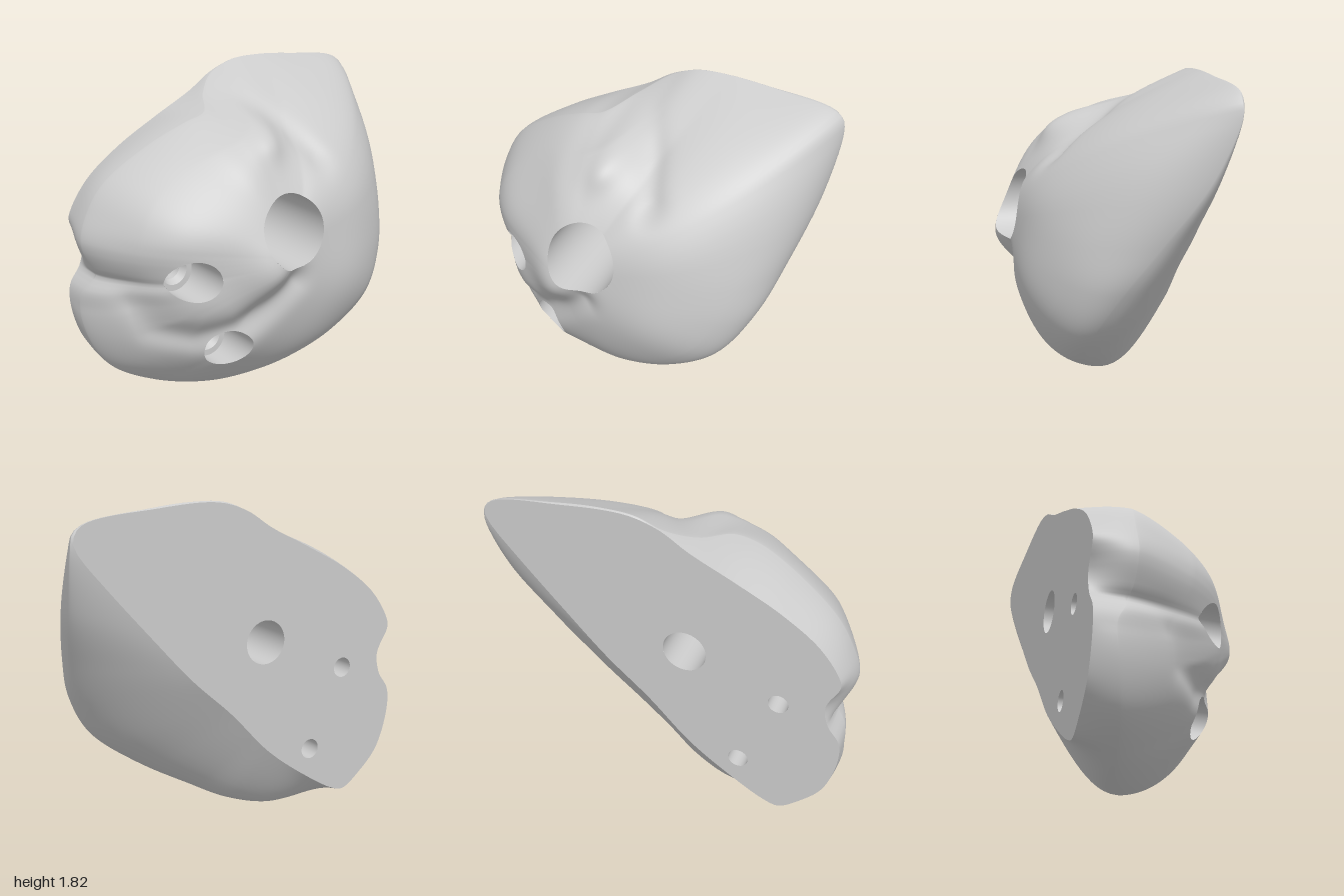
import * as THREE from 'three';

const BACK = -0.5, CX = -0.15, CY = 0.95, CREST = 0.46, TAU = Math.PI * 2;

// Widest outline of the rock, with the depth at which it occurs
const RIM = [
  [1, 1.63, -.49], [.985, 1.71, -.49], [.92, 1.755, -.49], [.6, 1.8, -.49], [.36, 1.82, -.49], [.15, 1.81, -.49],
  [0, 1.75, -.48], [-.14, 1.67, -.36], [-.27, 1.61, -.17], [-.4, 1.575, -.16], [-.6, 1.48, -.2], [-.85, 1.3, -.26],
  [-.95, 1.15, -.28], [-1, .98, -.28], [-.94, .82, -.29], [-.89, .74, -.32], [-.97, .6, -.38], [-.95, .4, -.36],
  [-.84, .2, -.32], [-.6, .06, -.26], [-.33, 0, -.2], [-.1, .04, -.1], [.1, .13, .02], [.36, .27, .12],
  [.62, .47, .14], [.78, .72, .03], [.87, .97, -.14], [.96, 1.3, -.36],
];
// Outline of the flat back
const BASE = [
  [.988, 1.66], [.95, 1.74], [.54, 1.8], [.19, 1.81], [.02, 1.76], [-.14, 1.66], [-.38, 1.54], [-.62, 1.41],
  [-.82, 1.26], [-.93, 1.11], [-.95, 1.04], [-.88, .89], [-.9, .77], [-.965, .67], [-.97, .54], [-.9, .32],
  [-.78, .19], [-.66, .11], [-.58, .13], [-.38, .25], [-.14, .43], [.1, .68], [.34, .9], [.58, 1.16], [.82, 1.43], [.96, 1.6],
];
// Bolt holes: mouth radius, then [radius, depth] steps down to the back
const HOLES = [
  { name: 'largeBoltHole', x: -.11, y: 1.05, r: .198, steps: [[.196, -.1], [.12, -.1], [.12, BACK]] },
  { name: 'upperScrewHole', x: -.63, y: .84, r: .115, steps: [[.112, .06], [.078, .06], [.056, .02], [.056, BACK]] },
  { name: 'lowerScrewHole', x: -.42, y: .395, r: .115, steps: [[.112, .06], [.078, .06], [.056, .02], [.056, BACK]] },
];
// Creases pressed into the front: path, depth, width
const CREASES = [
  { path: [[-.12, 1.7], [.03, 1.62], [.13, 1.52], [.2, 1.38]], depth: .05, width: .07 },
  { path: [[-.9, .75], [-.8, .64], [-.74, .52], [-.58, .48], [-.4, .54], [-.25, .66], [-.12, .78]], depth: .055, width: .085 },
];
// Soft swellings on the front: x, y, height, spread
const SWELLS = [
  [-.27, .86, .055, .15], [-.8, 1.05, .05, .2], [-.1, 1.54, .15, .13], [-.28, 1.44, .05, .18],
  [.35, .7, .02, .25], [-.62, .72, .025, .13], [-.42, .38, .04, .16],
];

// Closed curve turned into a lookup of [radius, z] by angle about the centre
function polar(points) {
  const curve = new THREE.CatmullRomCurve3(points.map(([x, y, z = BACK]) => new THREE.Vector3(x, y, z)), true);
  const samples = curve.getPoints(1500)
    .map(p => [Math.atan2(p.y - CY, p.x - CX), Math.hypot(p.x - CX, p.y - CY), p.z])
    .sort((a, b) => a[0] - b[0]);
  const N = 1040;
  const table = Array.from({ length: N }, (_, i) => {
    const a = i / N * TAU - Math.PI;
    const k = Math.max(1, samples.findIndex(e => e[0] >= a));
    const [p, q] = [samples[k - 1], samples[k]];
    const t = THREE.MathUtils.clamp((a - p[0]) / (q[0] - p[0] || 1), 0, 1);
    return [p[1] + (q[1] - p[1]) * t, p[2] + (q[2] - p[2]) * t];
  });
  return a => {
    const u = ((a + Math.PI) / TAU % 1 + 1) % 1 * N, i = Math.floor(u) % N, t = u - Math.floor(u);
    return table[i].map((v, n) => v + (table[(i + 1) % N][n] - v) * t);
  };
}
const base = polar(BASE), widest = polar(RIM);
const rim = a => { const [r, z] = widest(a); return [Math.max(r, base(a)[0]), z]; };

// Rim averaged over neighbouring angles, so notches fade towards the crest
function softRim(a) {
  let r = 0, z = 0;
  for (let k = -4; k <= 4; k++) {
    const [rk, zk] = rim(a + k * .08);
    r += rk / 9;
    z += zk / 9;
  }
  return [r, z];
}

function distanceToPath(x, y, path) {
  let best = Infinity;
  for (let i = 1; i < path.length; i++) {
    const [ax, ay] = path[i - 1], dx = path[i][0] - ax, dy = path[i][1] - ay;
    const t = THREE.MathUtils.clamp(((x - ax) * dx + (y - ay) * dy) / (dx * dx + dy * dy), 0, 1);
    best = Math.min(best, Math.hypot(x - ax - dx * t, y - ay - dy * t));
  }
  return best;
}

// Depth of the front surface at (x, y)
function height(x, y) {
  const a = Math.atan2(y - CY, x - CX), d = Math.hypot(x - CX, y - CY);
  const [r, z] = rim(a), [rs, zs] = softRim(a), edge = Math.min(1, d / r) ** 3;
  const s = Math.min(1, d / (rs + (r - rs) * edge)), z0 = zs + (z - zs) * edge;
  const lowerRight = Math.max(0, Math.cos(a + .5));
  const power = .75 - .3 * lowerRight + .28 * Math.exp(-(((a - 1) / .6) ** 2));
  let bump = .004 * Math.sin(9 * x + 4 * y) * Math.sin(8 * y - 3 * x);
  for (const c of CREASES) bump -= c.depth * Math.exp(-((distanceToPath(x, y, c.path) / c.width) ** 2));
  for (const [sx, sy, h, w] of SWELLS) bump += h * Math.exp(-((x - sx) ** 2 + (y - sy) ** 2) / (w * w));
  return z0 + (CREST - z0) * (1 - s ** (2 + .5 * lowerRight)) ** power + bump * Math.min(1, (1 - s) * 6);
}

function indexedGeometry(pos, index) {
  const g = new THREE.BufferGeometry();
  g.setAttribute('position', new THREE.Float32BufferAttribute(pos, 3));
  g.setIndex(index);
  g.computeVertexNormals();
  return g;
}

// Rock skin: undercut side rings, then domed front rings, open at the holes
function skinGeometry() {
  const N = 260, SIDE = 12, DOME = 80, pos = [], inside = [], index = [];
  for (let j = 0; j <= SIDE + DOME; j++) {
    for (let i = 0; i < N; i++) {
      const a = i / N * TAU, [R, z0] = rim(a);
      let hit = 0;
      if (j < SIDE) {
        const t = j / SIDE, b = base(a)[0];
        const r = b + (R - b) * Math.sin(t * Math.PI / 2);
        pos.push(CX + r * Math.cos(a), CY + r * Math.sin(a), BACK + (z0 - BACK) * t);
      } else {
        const r = R * Math.cos((j - SIDE) / DOME * Math.PI / 2);
        let x = CX + r * Math.cos(a), y = CY + r * Math.sin(a);
        for (const h of HOLES) {
          const d = Math.hypot(x - h.x, y - h.y);
          if (d >= h.r) continue;
          hit = 1;
          x = h.x + (x - h.x) * h.r / (d || 1);
          y = h.y + (y - h.y) * h.r / (d || 1);
        }
        pos.push(x, y, height(x, y));
      }
      inside.push(hit);
    }
  }
  const face = (...f) => { if (!f.every(v => inside[v])) index.push(...f); };
  for (let j = 0; j < SIDE + DOME; j++) for (let i = 0; i < N; i++) {
    const a = j * N + i, b = j * N + (i + 1) % N;
    face(a, b, b + N);
    face(a, b + N, a + N);
  }
  return indexedGeometry(pos, index);
}

// Flat back with the holes cut through
function backGeometry() {
  const outline = [];
  for (let i = 0; i < 260; i++) {
    const a = -i / 260 * TAU, r = base(a)[0];
    outline.push(new THREE.Vector2(-CX - r * Math.cos(a), CY + r * Math.sin(a)));
  }
  const shape = new THREE.Shape(outline);
  for (const h of HOLES) shape.holes.push(new THREE.Path().absarc(-h.x, h.y, h.steps.at(-1)[0], 0, TAU, true));
  return new THREE.ShapeGeometry(shape, 48).rotateY(Math.PI).translate(0, 0, BACK);
}

// One band of a hole wall between two [radius, depth] rings; no depth means the skin
function bandGeometry(h, top, bottom) {
  const N = 64, pos = [], index = [];
  for (const [r, z] of [top, bottom]) for (let i = 0; i < N; i++) {
    const a = i / N * TAU, x = h.x + r * Math.cos(a), y = h.y + r * Math.sin(a);
    pos.push(x, y, z ?? height(x, y));
  }
  for (let i = 0; i < N; i++) {
    const k = (i + 1) % N;
    index.push(i, k, k + N, i, k + N, i + N);
  }
  return indexedGeometry(pos, index);
}

export function createModel() {
  const model = new THREE.Group();
  model.name = 'climbingHold';
  const material = new THREE.MeshStandardMaterial({ color: 0xcccccc, side: THREE.DoubleSide });
  const add = (parent, name, geometry) => {
    const mesh = new THREE.Mesh(geometry, material);
    mesh.name = name;
    parent.add(mesh);
  };
  add(model, 'rockSkin', skinGeometry());
  add(model, 'flatBack', backGeometry());
  for (const h of HOLES) {
    const hole = new THREE.Group();
    hole.name = h.name;
    const rings = [[h.r], ...h.steps];
    for (let i = 1; i < rings.length; i++) add(hole, 'holeWall' + i, bandGeometry(h, rings[i - 1], rings[i]));
    model.add(hole);
  }
  return model;
}
